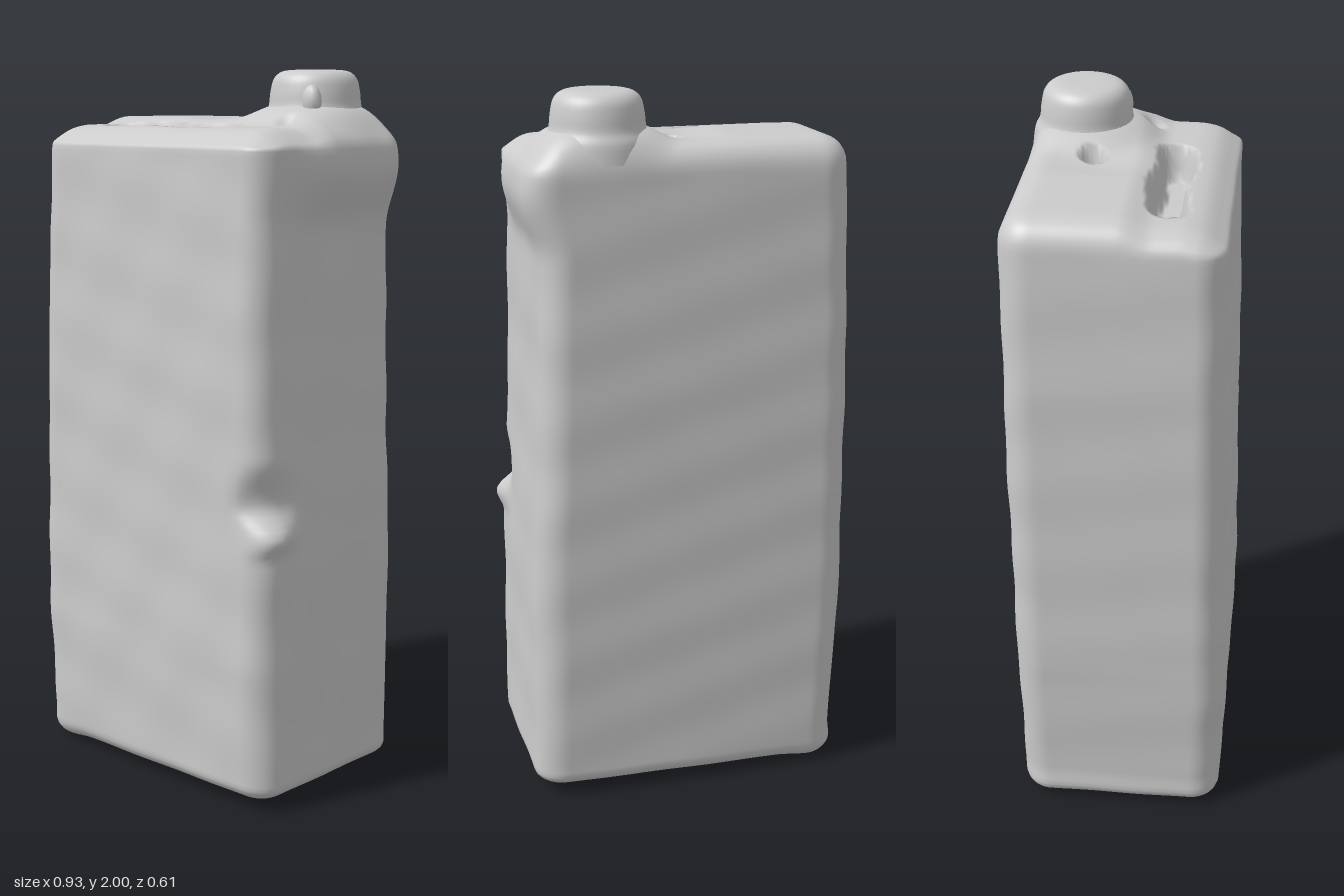
import * as THREE from 'three';
import { mergeVertices } from 'three/addons/utils/BufferGeometryUtils.js';

const { smoothstep, clamp } = THREE.MathUtils;
const bump = (d, r) => 1 - smoothstep(d, 0, r);

// Linear interpolation through [position, value] pairs
function along(pairs, t) {
  for (let i = 1; i < pairs.length; i++) {
    const [a, u] = pairs[i - 1], [b, v] = pairs[i];
    if (t <= b) return u + (v - u) * clamp((t - a) / (b - a), 0, 1);
  }
  return pairs[pairs.length - 1][1];
}

// Half widths of the soft-sided body by height
const leftSide = [[0, 0.455], [0.1, 0.445], [0.5, 0.462], [1, 0.46], [1.4, 0.455], [1.86, 0.437]];
const rightSide = [[0, 0.455], [0.7, 0.447], [1, 0.43], [1.3, 0.418], [1.62, 0.412], [1.86, 0.425]];
const frontSide = [[0, 0.295], [0.4, 0.303], [0.8, 0.295], [1.2, 0.288], [1.86, 0.272]];
const backSide = [[0, 0.285], [0.5, 0.295], [1.2, 0.302], [1.86, 0.3]];

// Handle slot (bent capsule) and small round hole in the top
const slot = [[-0.255, 0.115], [-0.1, 0.098], [0.03, 0.118], [0.12, 0.108]];
function slotDistance(x, z) {
  const cx = clamp(x, -0.255, 0.12);
  return Math.hypot(x - cx, z - along(slot, cx)) - 0.042;
}

function topHeight(x, z) {
  let y = 0.022 * (1 - smoothstep(z, 0.0, 0.09)) - 0.012;
  y -= 0.02 * smoothstep(z, 0.15, 0.28);
  y -= 0.015 * smoothstep(x, 0.32, 0.45);
  y -= 0.012 * bump(Math.abs(x + 0.02), 0.12) * bump(Math.abs(z + 0.1), 0.2);
  // Raised shoulder around the neck
  y += 0.035 * bump(Math.hypot(x - 0.23, z + 0.15) - 0.1, 0.12);
  y -= 0.1 * bump(slotDistance(x, z) + 0.012, 0.024);
  y -= 0.08 * bump(Math.hypot(x - 0.03, z + 0.11) - 0.018, 0.018);
  y -= 0.02 * bump(Math.hypot(x - 0.29, z - 0.03), 0.04);
  return y;
}

function bodyGeometry() {
  const H = 1.86, radius = 0.085;
  let g = new THREE.BoxGeometry(2, H, 2, 80, 110, 56);
  g.deleteAttribute('normal');
  g.deleteAttribute('uv');
  g = mergeVertices(g);
  const pos = g.attributes.position;
  const p = new THREE.Vector3(), inner = new THREE.Vector3();
  for (let i = 0; i < pos.count; i++) {
    p.fromBufferAttribute(pos, i);
    p.x *= 0.45;
    p.z *= 0.3;
    // Round all edges
    inner.set(
      clamp(p.x, radius - 0.45, 0.45 - radius),
      clamp(p.y, -H / 2 + 0.055, H / 2 - 0.065),
      clamp(p.z, radius - 0.3, 0.3 - radius));
    const d = p.clone().sub(inner);
    const ry = d.y < 0 ? 0.055 : 0.065;
    d.y *= radius / ry;
    if (d.lengthSq() > 0) d.setLength(radius);
    d.y *= ry / radius;
    p.copy(inner).add(d);
    let { x, z } = p, y = p.y + H / 2;

    // Bowed and tapered sides
    const sx = x, sz = z;
    x *= along(sx < 0 ? leftSide : rightSide, y) / 0.45;
    z *= along(sz < 0 ? backSide : frontSide, y) / 0.3;

    // Shoulder bulge on the left side beneath the cap
    x += 0.035 * smoothstep(sx, 0.2, 0.45) * bump(Math.abs(y - 1.74), 0.17) * bump(Math.max(0, z), 0.25);

    // Dented front corner with a small raised lip
    if (sx > 0 && sz > 0) {
      const corner = smoothstep(sx, 0.3, 0.43) * smoothstep(sz, 0.1, 0.28);
      const dent = corner * bump(Math.abs(y - 0.86), 0.13);
      x -= 0.035 * dent;
      z -= 0.02 * dent;
      x += 0.04 * corner * bump(Math.abs(y - 0.78), 0.07);
    }

    // Uneven top and slightly lifted base
    y += topHeight(x, z) * smoothstep(y, 1.78, 1.855);
    y += (0.008 + 0.012 * smoothstep(x, -0.45, 0.45)) * bump(y, 0.12);
    y -= 0.008 * bump(Math.abs(x + 0.37), 0.1) * bump(y, 0.1);

    // Gentle hand-worn ripples
    const side = 1 - smoothstep(y, 1.75, 1.85);
    x += 0.0025 * side * Math.sign(sx) * Math.sin(17 * y + 9 * z) * Math.cos(13 * z - 6 * y);
    z += 0.0025 * side * Math.sign(sz) * Math.sin(19 * y - 7 * x) * Math.cos(14 * x + 8 * y);
    pos.setXYZ(i, x, y, z);
  }
  g.computeVertexNormals();
  return g;
}

// Soft screw cap with a flared neck
function capGeometry() {
  const profile = new THREE.SplineCurve([
    [0.15, 1.82], [0.143, 1.87], [0.129, 1.9], [0.124, 1.94],
    [0.115, 1.975], [0.092, 1.995], [0.05, 2.0], [0, 2.0],
  ].map(([x, y]) => new THREE.Vector2(x, y)));
  const points = profile.getPoints(28);
  points.forEach((q) => { q.x = Math.max(q.x, 0); q.y = Math.min(q.y, 2); });
  return new THREE.LatheGeometry(points, 40);
}

export function createModel() {
  const material = new THREE.MeshStandardMaterial({ color: 0xcccccc, roughness: 0.8, side: THREE.DoubleSide });
  const model = new THREE.Group();
  model.name = 'canister';

  const body = new THREE.Mesh(bodyGeometry(), material);
  body.name = 'body';

  const cap = new THREE.Mesh(capGeometry(), material);
  cap.name = 'cap';
  cap.position.set(0.23, 0, -0.152);

  // Small nub on the cap's side
  const nub = new THREE.Mesh(new THREE.SphereGeometry(0.03, 12, 8), material);
  nub.name = 'capNub';
  nub.scale.set(1, 1.5, 0.8);
  nub.position.set(0.3, 1.915, -0.055);

  model.add(body, cap, nub);
  return model;
}
